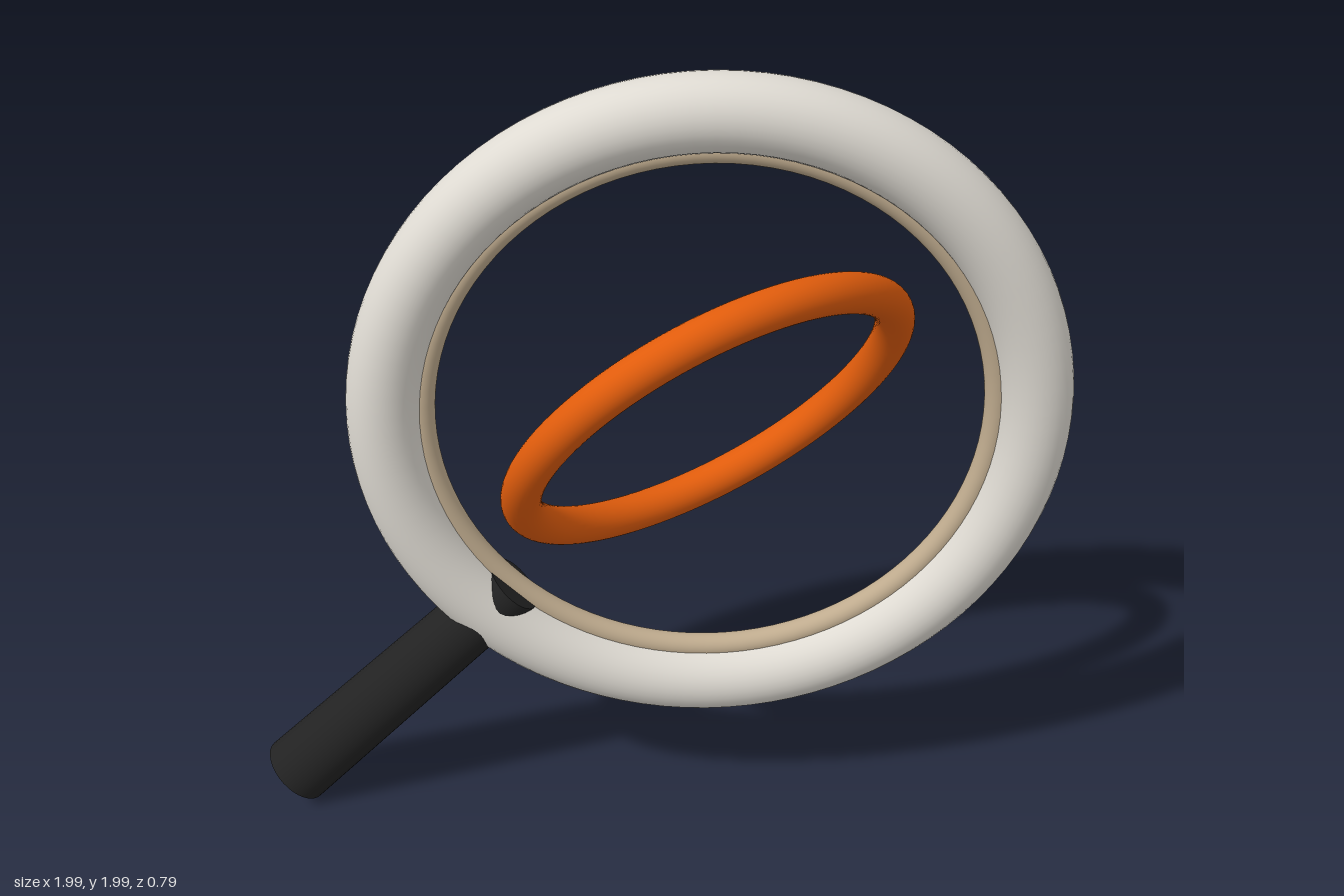
import * as THREE from 'three';

const material = (name, color) => {
  const m = new THREE.MeshStandardMaterial({ color });
  m.name = name;
  return m;
};

export function createModel() {
  const model = new THREE.Group();
  model.name = 'ringWithHandle';
  const white = material('warmWhite', 0xdedad2);
  const tan = material('tan', 0xbfab8e);
  const orange = material('orange', 0xe05c0c);
  const black = material('black', 0x222222);
  const center = new THREE.Vector3(0.14, 1.14, 0);

  const addRing = (name, radius, tube, mat) => {
    const ring = new THREE.Mesh(new THREE.TorusGeometry(radius, tube, 32, 96), mat);
    ring.name = name;
    ring.position.copy(center);
    model.add(ring);
    return ring;
  };

  // Thick frame with a thin liner around its inner edge
  addRing('outerRing', 0.77, 0.09, white);
  addRing('innerLiner', 0.68, 0.03, tan);

  // Tilted ring floating in the middle
  const floating = addRing('floatingRing', 0.496, 0.048, orange);
  const axis = new THREE.Vector3(0.434, -0.55, 0.714).normalize();
  floating.quaternion.setFromUnitVectors(new THREE.Vector3(0, 0, 1), axis);

  // Tapered handle, running diagonally through the frame to the liner
  const innerEnd = 0.68, outerEnd = 1.513;
  const handle = new THREE.Mesh(
    new THREE.CylinderGeometry(0.079, 0.092, outerEnd - innerEnd, 32), black);
  handle.name = 'handle';
  const offset = (innerEnd + outerEnd) / 2 * Math.SQRT1_2;
  handle.position.set(center.x - offset, center.y - offset, 0);
  handle.rotation.z = -Math.PI / 4;
  model.add(handle);

  return model;
}
